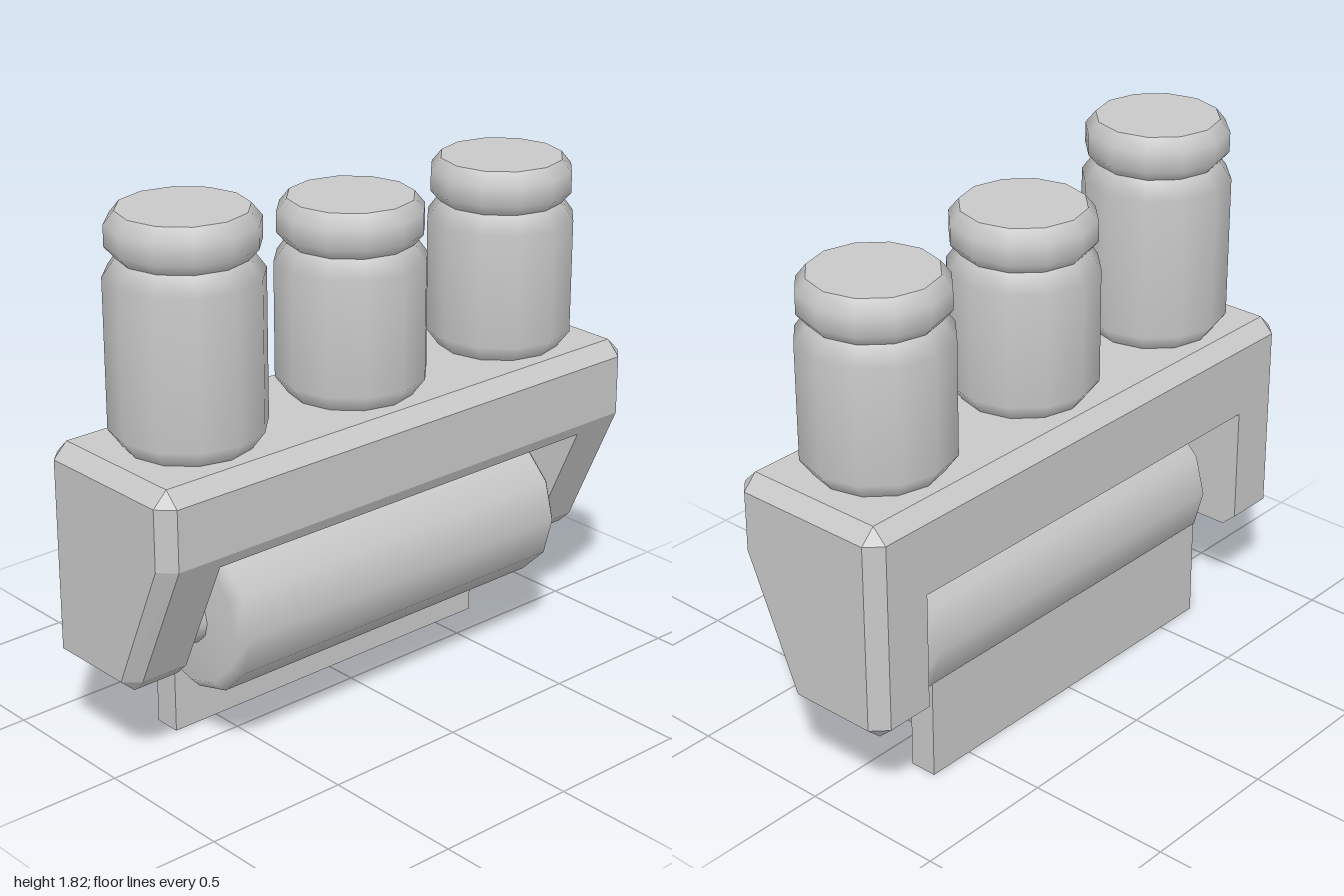
import * as THREE from 'three';
import { ConvexGeometry } from 'three/addons/geometries/ConvexGeometry.js';

const grey = new THREE.MeshStandardMaterial({ color: 0xc8c8c8 });
grey.name = 'plain grey';

const SIDES = 12;
const v2 = ([r, y]) => new THREE.Vector2(r, y);

function add(parent, name, geometry) {
  const mesh = new THREE.Mesh(geometry, grey);
  mesh.name = name;
  parent.add(mesh);
  return mesh;
}

const lathe = (profile) => new THREE.LatheGeometry(profile.map(v2), SIDES);

// Convex solid through side profiles [z, y] placed at given x positions
function hull(sections) {
  const pts = [];
  for (const [x, profile] of sections)
    for (const [z, y] of profile) pts.push(new THREE.Vector3(x, y, z));
  return new ConvexGeometry(pts);
}

// Bracket: two chamfered end arms joined by a beam
function makeBracket() {
  const group = new THREE.Group();
  group.name = 'bracket';
  const full = [[0.25, 1.065], [0.3, 1.015], [0.3, 0.81], [0.1, 0.365], [0.055, 0.32],
    [-0.25, 0.32], [-0.3, 0.365], [-0.3, 1.015], [-0.25, 1.065]];
  const inset = [[0.25, 1.015], [0.25, 0.81], [0.055, 0.365], [-0.25, 0.365], [-0.25, 1.015]];
  const beam = [[0.25, 1.065], [0.3, 1.015], [0.3, 0.81], [0.282, 0.77],
    [-0.3, 0.77], [-0.3, 1.015], [-0.25, 1.065]];
  for (const s of [-1, 1])
    add(group, s > 0 ? 'leftArm' : 'rightArm',
      hull([[s * 0.78, full], [s * 0.95, full], [s, inset]]));
  add(group, 'beam', hull([[-0.78, beam], [0.78, beam]]));
  return group;
}

// Lidded jar standing on the beam
function makeJar(x, height) {
  const group = new THREE.Group();
  group.name = 'jar';
  group.position.set(x, 1.065, 0);
  add(group, 'jarBody', lathe([[0.207, 0], [0.25, 0.058],
    [0.25, height - 0.205], [0.208, height - 0.147]]));
  add(group, 'jarLid', lathe([[0.208, height - 0.147], [0.24, height - 0.11],
    [0.24, height - 0.042], [0.206, height]]));
  const top = add(group, 'lidTop', new THREE.CircleGeometry(0.206, SIDES));
  top.rotation.x = -Math.PI / 2;
  top.position.y = height;
  return group;
}

// Paper roll on its axle with the loose sheet hanging at the back
function makeRoll() {
  const group = new THREE.Group();
  group.name = 'paperRoll';
  group.position.set(0, 0.485, 0.02);
  const roll = add(group, 'roll', lathe([[0, -0.7], [0.23, -0.7], [0.265, -0.667],
    [0.265, 0.667], [0.23, 0.7], [0, 0.7]]));
  roll.rotation.z = -Math.PI / 2;
  const axle = add(group, 'axle', new THREE.CylinderGeometry(0.09, 0.09, 1.58, SIDES));
  axle.rotation.z = -Math.PI / 2;
  const sheet = add(group, 'sheet', new THREE.BoxGeometry(1.334, 0.36, 0.095));
  sheet.position.set(0, 0.18 - 0.485, -0.1775);
  return group;
}

export function createModel() {
  const model = new THREE.Group();
  model.name = 'paperRollHolder';
  model.add(makeBracket(), makeRoll());
  for (const [x, h] of [[-0.667, 0.752], [0, 0.652], [0.667, 0.652]]) model.add(makeJar(x, h));
  return model;
}
